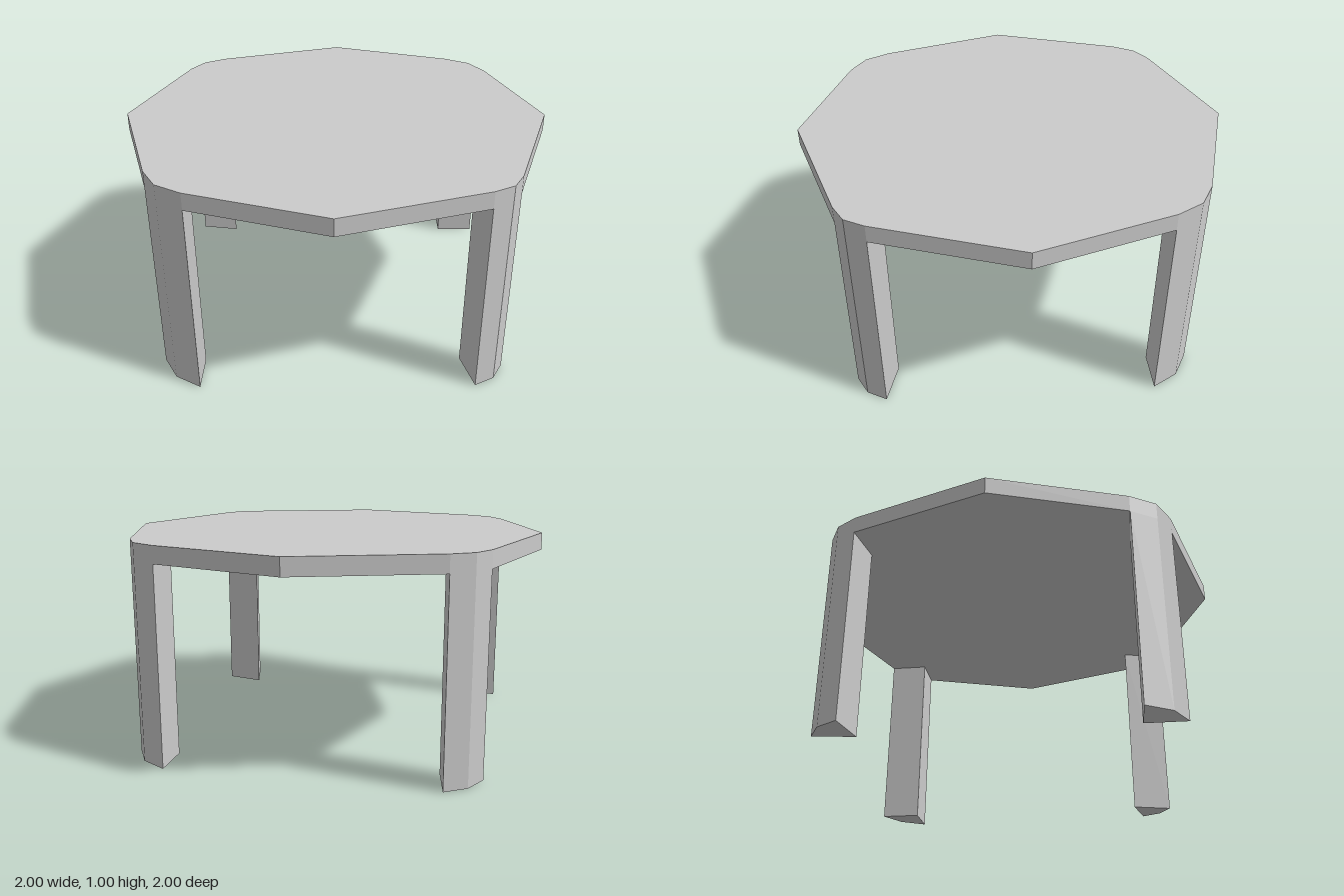
import * as THREE from 'three';

const HEIGHT = 1, THICKNESS = 0.08;

// Corners in order round the table: signs, long and short reach of the bevel, inner corner
const corners = [
  { name: 'frontLeftLeg', sx: 1, sz: 1, near: 0.64, far: 0.78, inner: 0.59 },
  { name: 'frontRightLeg', sx: -1, sz: 1, near: 0.61, far: 0.8, inner: 0.61 },
  { name: 'backRightLeg', sx: -1, sz: -1, near: 0.63, far: 0.79, inner: 0.6 },
  { name: 'backLeftLeg', sx: 1, sz: -1, near: 0.61, far: 0.8, inner: 0.61 },
];
const BEND = 0.73;

// Three outline points [x, z] of a rounded corner, from the side edge to the front/back edge
function bevel({ sx, sz, near, far }) {
  return [[sx * far, sz * near], [sx * BEND, sz * BEND], [sx * near, sz * far]];
}

// Upright prism over a plan outline given as [x, z] points
function prism(name, plan, bottom, top, material) {
  const shape = new THREE.Shape(plan.map(([x, z]) => new THREE.Vector2(x, -z)));
  const geometry = new THREE.ExtrudeGeometry(shape, { depth: top - bottom, bevelEnabled: false });
  geometry.rotateX(-Math.PI / 2).translate(0, bottom, 0);
  const mesh = new THREE.Mesh(geometry, material);
  mesh.name = name;
  return mesh;
}

export function createModel() {
  const table = new THREE.Group();
  table.name = 'table';
  const material = new THREE.MeshStandardMaterial({ color: 0xcccccc, flatShading: true });

  // Tabletop: four pointed sides joined by the rounded corners
  const [fl, fr, br, bl] = corners.map(bevel);
  const outline = [
    [1, 0], ...fl, [0, 1], ...fr.reverse(),
    [-1, 0], ...br, [0, -1], ...bl.reverse(),
  ];
  table.add(prism('tabletop', outline, HEIGHT - THICKNESS, HEIGHT, material));

  // Legs: kite-shaped, flush with the tabletop corners
  for (const c of corners) {
    const plan = [...bevel(c), [c.sx * c.inner, c.sz * c.inner]];
    table.add(prism(c.name, plan, 0, HEIGHT - THICKNESS, material));
  }
  return table;
}
